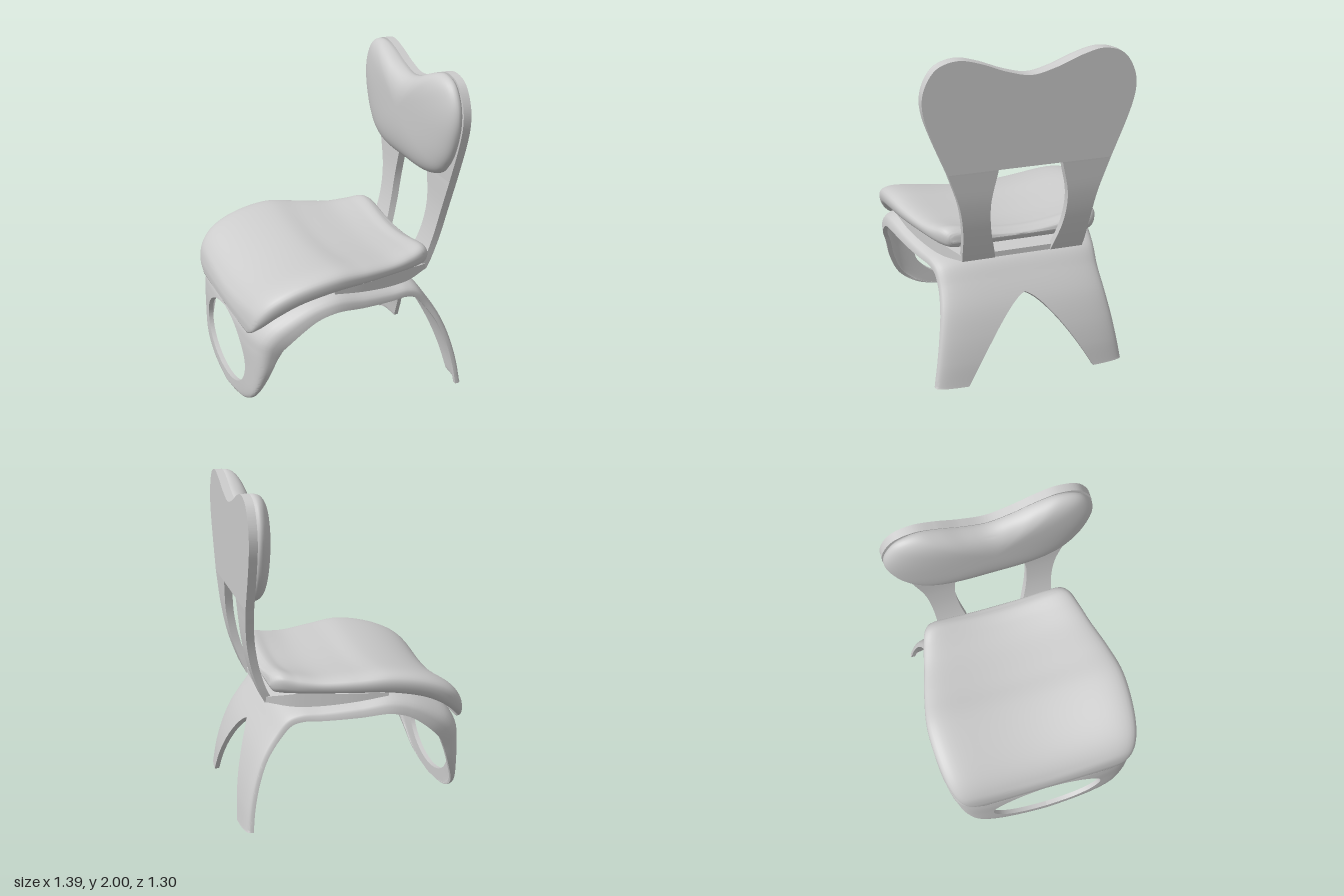
import * as THREE from 'three';
import { mergeVertices, toCreasedNormals } from 'three/addons/utils/BufferGeometryUtils.js';

const material = new THREE.MeshStandardMaterial({ color: 0xcccccc, side: THREE.DoubleSide });
const V = (x, y, z) => new THREE.Vector3(x, y, z);

// Smooth interpolation through table rows of three numbers
const curve = (rows) => new THREE.CatmullRomCurve3(rows.map((r) => V(...r)));

// Closed solid through equal-length rings, ends capped by fans, faces turned outward
function loft(rings, crease = 0.7) {
  const n = rings[0].length, pos = [], idx = [];
  rings.forEach((r) => r.forEach((p) => pos.push(p.x, p.y, p.z)));
  for (let i = 0; i < rings.length - 1; i++) {
    for (let j = 0; j < n; j++) {
      const a = i * n + j, b = i * n + (j + 1) % n;
      idx.push(a, b, b + n, a, b + n, a + n);
    }
  }
  [0, rings.length - 1].forEach((i) => {
    const c = rings[i].reduce((s, p) => s.add(p), V(0, 0, 0)).divideScalar(n);
    const k = pos.length / 3;
    pos.push(c.x, c.y, c.z);
    for (let j = 0; j < n; j++) {
      const a = i * n + j, b = i * n + (j + 1) % n;
      if (i === 0) idx.push(k, b, a); else idx.push(k, a, b);
    }
  });
  const at = (i) => V(pos[3 * i], pos[3 * i + 1], pos[3 * i + 2]);
  let volume = 0;
  for (let i = 0; i < idx.length; i += 3) volume += at(idx[i]).dot(at(idx[i + 1]).cross(at(idx[i + 2])));
  if (volume < 0) idx.reverse();
  let g = new THREE.BufferGeometry();
  g.setAttribute('position', new THREE.Float32BufferAttribute(pos, 3));
  g.setIndex(idx);
  g = mergeVertices(g, 1e-5);
  return toCreasedNormals(g, crease);
}

const mirrorZ = (rings) => rings.map((r) => r.map((p) => V(p.x, p.y, -p.z)));

function part(name, geometry) {
  const mesh = new THREE.Mesh(geometry, material);
  mesh.name = name;
  return mesh;
}

// Half of the bent shell: front leg with oval hole, seat pan, rear legs with arch
function shellRings() {
  // x, y of the centre line, half width, depth of the curled edge
  const rows = [
    [-0.7, 0, 0.02, 0.03], [-0.7, 0.02, 0.22, 0.03], [-0.7, 0.06, 0.36, 0.035], [-0.7, 0.15, 0.48, 0.05],
    [-0.7, 0.3, 0.555, 0.1], [-0.7, 0.46, 0.588, 0.15], [-0.685, 0.555, 0.605, 0.172], [-0.62, 0.645, 0.622, 0.175],
    [-0.5, 0.72, 0.637, 0.152], [-0.35, 0.78, 0.645, 0.125], [-0.2, 0.805, 0.645, 0.115], [0, 0.768, 0.61, 0.1],
    [0.2, 0.735, 0.56, 0.085], [0.33, 0.72, 0.53, 0.08], [0.41, 0.685, 0.515, 0.075], [0.49, 0.585, 0.51, 0.065],
    [0.575, 0.45, 0.525, 0.06], [0.636, 0.3, 0.55, 0.062], [0.675, 0.15, 0.575, 0.065], [0.697, 0, 0.6, 0.067],
  ];
  const path = curve(rows.map((r) => r.slice(0, 3)));
  const curl = curve(rows.map((r, i) => [i, r[3], 0]));
  const N = 400, M = 14, TH = 0.03, rings = [];
  const tangents = Array.from({ length: N + 1 }, (_, i) => path.getTangentAt(i / N).setZ(0).normalize());
  for (let i = 0; i <= N; i++) {
    const t = path.getUtoTmapping(i / N);
    const p = path.getPoint(t), c = Math.max(TH, curl.getPoint(t).y);
    // The curl direction turns gradually, so tight bends do not fold the edge
    const d = V(0, 0, 0), span = Math.min(28, i, N - i);
    for (let k = i - span; k <= i + span; k++) d.add(tangents[k]);
    d.normalize();
    let hole = 0;
    if (p.x < -0.5) hole = 0.37 * Math.sqrt(Math.max(0, 1 - ((p.y - 0.295) / 0.23) ** 2));
    if (p.x > 0.4) hole = 0.4 * Math.max(0, 1 - p.y / 0.5) ** 0.7;
    const th = Math.min(TH, p.z / 2);
    const layer = (w, top) => Array.from({ length: M + 1 }, (_, k) => {
      const r0 = Math.min(1, hole / w), r = r0 + (1 - r0) * Math.sin(k / M * Math.PI / 2);
      const drop = top + (c - top) * (1 - Math.max(0, 1 - r ** 3.7) ** (1 / 3.7));
      return V(p.x + d.y * drop, Math.max(0, p.y - d.x * drop), w * r);
    });
    rings.push([...layer(p.z, 0), ...layer(p.z - th, TH).reverse()]);
  }
  return rings;
}

// Seat pad: flat-bottomed pillow with a dished top, wrapped over the front edge
function seatCushion() {
  const low = curve([
    [-0.69, 0.55, 0.44], [-0.68, 0.58, 0.52], [-0.64, 0.62, 0.575], [-0.55, 0.69, 0.618], [-0.42, 0.755, 0.643],
    [-0.2, 0.803, 0.648], [0, 0.808, 0.612], [0.2, 0.808, 0.558], [0.33, 0.808, 0.525], [0.42, 0.81, 0.492],
    [0.46, 0.815, 0.46], [0.483, 0.845, 0.425]]);
  const high = curve([
    [-0.7, 0.56, 0], [-0.7, 0.635, 0], [-0.678, 0.735, 0], [-0.605, 0.824, 0], [-0.45, 0.901, 0],
    [-0.2, 0.949, 0], [0, 0.929, 0], [0.2, 0.913, 0], [0.33, 0.93, 0], [0.43, 0.949, 0],
    [0.475, 0.922, 0], [0.487, 0.865, 0]]);
  const N = 90, M = 32, rings = [];
  for (let i = 0; i <= N; i++) {
    const b = low.getPoint(i / N), t = high.getPoint(i / N), w = b.z;
    const dish = 0.066 * Math.min(1, Math.hypot(t.x - b.x, t.y - b.y) / 0.13);
    const point = (k, side) => {
      const r = Math.sin((k / M - 0.5) * Math.PI);
      const v = side * Math.max(0, 1 - Math.abs(r) ** (side > 0 ? 8 : 20)) ** 0.4, f = (1 + v) / 2;
      const dip = Math.max(0, v) * dish * Math.max(0, 1 - r * r) ** 1.5;
      return V(b.x + (t.x - b.x) * f, b.y + (t.y - b.y) * f - dip, w * r);
    };
    const ring = [];
    for (let k = 0; k < M; k++) ring.push(point(k, 1));
    for (let k = M; k > 0; k--) ring.push(point(k, -1));
    rings.push(ring);
  }
  return loft(rings, 1.5);
}

// Full two-lobed outline from its right half, as [z, y] pairs
const both = (half) => [...half.slice(1).reverse().map(([z, y]) => [-z, y]), ...half];
const lobes = [[0, 1.882], [0.15, 1.915], [0.3, 1.972], [0.43, 2], [0.55, 1.965], [0.62, 1.865], [0.637, 1.75], [0.6, 1.6]];

// Back pad: outline shrunk toward its middle while it bulges forward
function backCushion() {
  const pts = both([...lobes, [0.54, 1.485], [0.45, 1.395], [0.3, 1.343], [0, 1.333]]).slice(1);
  const outline = new THREE.CatmullRomCurve3(pts.map(([z, y]) => V(0, y, z)), true).getPoints(96).slice(0, -1);
  const rings = [];
  const ring = (s, x) => rings.push(outline.map((p) => V(x, 1.67 + (p.y - 1.67) * s, p.z * s)));
  ring(0.97, 0.583);
  ring(0.985, 0.573);
  for (let k = 0; k <= 20; k++) {
    const s = Math.max(0.02, Math.cos(k / 20 * Math.PI / 2));
    ring(s * 0.997, 0.565 - 0.115 * (1 - s ** 2.9) ** (1 / 2.3));
  }
  return loft(rings, 1.0);
}

// Flat upper part of the back plate
function backPlate() {
  const pts = both([...lobes, [0.495, 1.34]]).map(([z, y]) => new THREE.Vector2(z, y));
  const shape = new THREE.Shape();
  shape.moveTo(pts[0].x, pts[0].y);
  shape.splineThru(pts.slice(1));
  const g = new THREE.ExtrudeGeometry(shape, { depth: 0.05, bevelEnabled: false, curveSegments: 80 });
  g.rotateY(Math.PI / 2).translate(0.581, 0, 0);
  return toCreasedNormals(g, 0.6);
}

// One curved arm carrying the back plate
function armRings() {
  const outer = curve([[0.505, 0.735, 0.38], [0.533, 0.8, 0.385], [0.583, 0.95, 0.395], [0.616, 1.13, 0.425], [0.631, 1.34, 0.495]]);
  const inner = curve([[0.45, 0.745, 0.175], [0.485, 0.8, 0.19], [0.535, 0.95, 0.225], [0.567, 1.13, 0.236], [0.581, 1.34, 0.195]]);
  return Array.from({ length: 33 }, (_, i) => {
    const o = outer.getPoint(i / 32), n = inner.getPoint(i / 32);
    return [V(o.x, o.y, n.z), V(o.x, o.y, o.z), V(n.x, n.y, o.z), V(n.x, n.y, n.z)];
  });
}

// Tapered panel between shell and seat pad, joining the arms
function seatPanel() {
  const low = curve([[-0.2, 0.79, 0.6], [0, 0.757, 0.57], [0.2, 0.73, 0.515], [0.35, 0.722, 0.46], [0.5, 0.736, 0.38]]);
  return loft(Array.from({ length: 25 }, (_, i) => {
    const p = low.getPoint(i / 24), top = 0.81 - Math.max(0, p.x - 0.3) * 0.2;
    return [V(p.x, p.y, -p.z), V(p.x, p.y, p.z), V(p.x, top, p.z), V(p.x, top, -p.z)];
  }));
}

export function createModel() {
  const chair = new THREE.Group();
  chair.name = 'chair';

  const shell = new THREE.Group();
  shell.name = 'legShell';
  const half = shellRings();
  shell.add(part('legShellLeft', loft(half)), part('legShellRight', loft(mirrorZ(half))));

  const back = new THREE.Group();
  back.name = 'backrest';
  const arm = armRings();
  back.add(
    part('backPlate', backPlate()),
    part('backArmLeft', loft(arm)),
    part('backArmRight', loft(mirrorZ(arm))),
    part('backCushion', backCushion()),
  );

  chair.add(shell, back, part('seatPanel', seatPanel()), part('seatCushion', seatCushion()));
  return chair;
}
